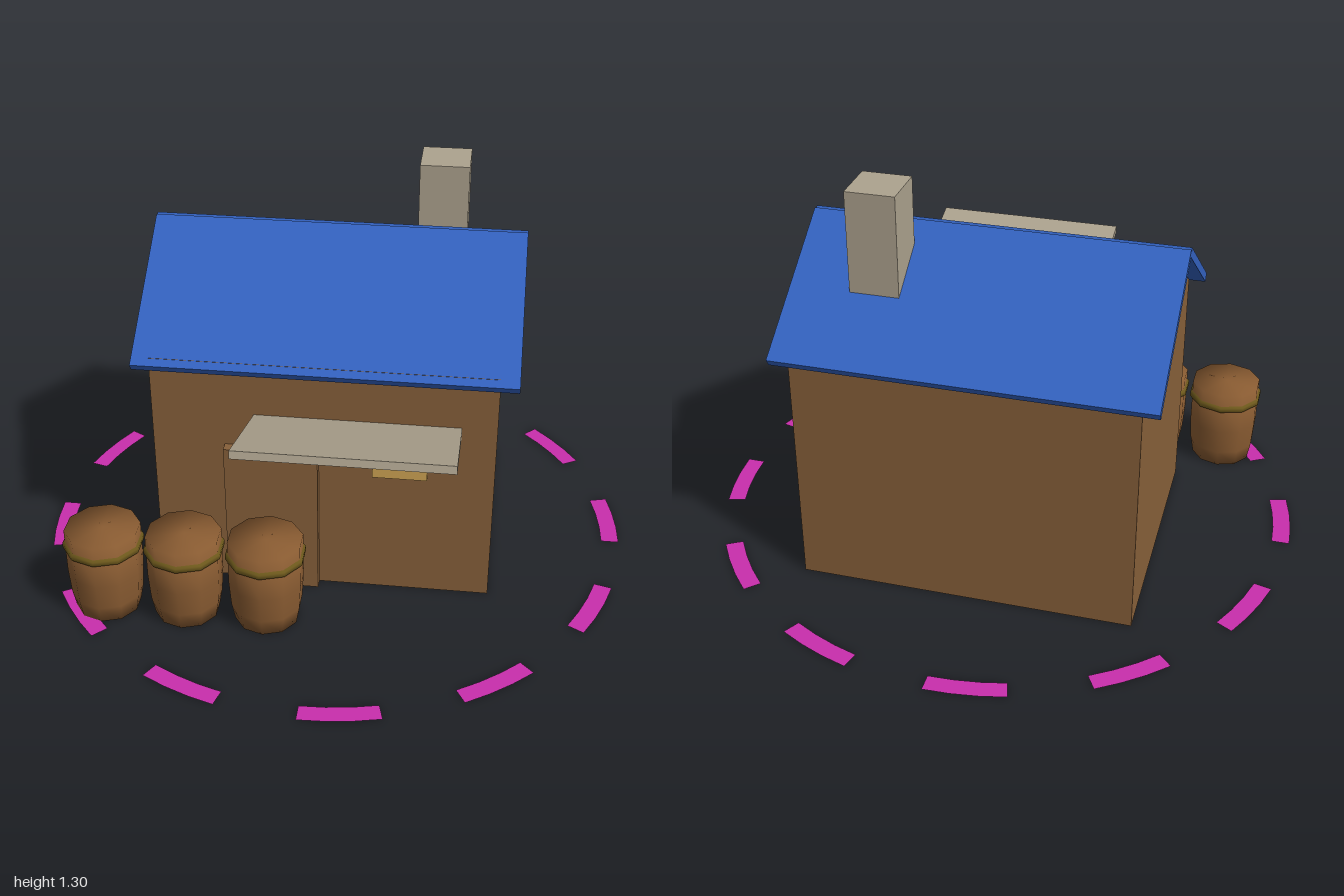
import * as THREE from 'three';

const material = (name, color, side = THREE.FrontSide) => {
  const m = new THREE.MeshStandardMaterial({ color, side });
  m.name = name;
  return m;
};

export function createModel() {
  const model = new THREE.Group();
  model.name = 'shop';

  const wood = material('wallBrown', 0x87603a);
  const blue = material('roofBlue', 0x3362c0);
  const stone = material('stoneGrey', 0xaca28e);
  const glass = material('windowYellow', 0xcfa554);
  const barrelWood = material('barrelBrown', 0x8a5c32);
  const brass = material('bandOlive', 0x6e591c);
  const magenta = material('markerMagenta', 0xc82eac, THREE.DoubleSide);

  const add = (name, geometry, mat, x, y, z, parent = model) => {
    const mesh = new THREE.Mesh(geometry, mat);
    mesh.name = name;
    mesh.position.set(x, y, z);
    parent.add(mesh);
    return mesh;
  };
  const box = (name, mat, w, h, d, x, y, z) =>
    add(name, new THREE.BoxGeometry(w, h, d), mat, x, y, z);

  // House body, door, window and chimney
  const midZ = -0.112;
  box('walls', wood, 1.105, 0.832, 0.89, -0.002, 0.416, midZ + 0.002);
  box('door', wood, 0.305, 0.53, 0.06, -0.168, 0.265, 0.34);
  box('window', glass, 0.176, 0.16, 0.04, 0.248, 0.532, 0.335);
  box('chimney', stone, 0.162, 0.385, 0.165, 0.331, 1.1125, -0.277);

  // Two roof slabs meeting at an open-ended ridge
  const run = 0.462, rise = 0.312;
  for (const s of [1, -1]) {
    const slab = box(s > 0 ? 'roofFront' : 'roofBack', blue,
      1.22, 0.03, Math.hypot(run, rise), 0, 0.959, midZ + s * run / 2);
    slab.rotation.x = s * Math.atan2(rise, run);
  }

  // Awning, tilted up away from the wall
  const awning = box('awning', stone, 0.662, 0.025, 0.46, 0.108, 0.694, 0.522);
  awning.rotation.x = -0.307;

  // Row of three barrels, each with a band
  const barrelProfile = [[0, 0], [0.106, 0], [0.117, 0.06], [0.123, 0.15], [0.123, 0.305], [0, 0.305]]
    .map(([r, y]) => new THREE.Vector2(r, y));
  const bandProfile = [[0.12, 0.236], [0.131, 0.242], [0.131, 0.258], [0.12, 0.264]]
    .map(([r, y]) => new THREE.Vector2(r, y));
  const barrelGeometry = new THREE.LatheGeometry(barrelProfile, 10);
  const bandGeometry = new THREE.LatheGeometry(bandProfile, 10);
  for (let i = 0; i < 3; i++) {
    const barrel = new THREE.Group();
    barrel.name = 'barrel' + (i + 1);
    barrel.position.set(-0.695 + i * 0.266, 0, 0.525);
    add('barrelBody', barrelGeometry, barrelWood, 0, 0, 0, barrel);
    add('barrelBand', bandGeometry, brass, 0, 0, 0, barrel);
    model.add(barrel);
  }

  // Dashed ring on the ground
  const ring = new THREE.Group();
  ring.name = 'groundRing';
  for (let i = 0; i < 12; i++) {
    const dash = new THREE.RingGeometry(0.94, 1, 1, 1, i * Math.PI / 6, Math.PI / 12);
    dash.rotateX(-Math.PI / 2);
    add('ringDash', dash, magenta, 0, 0.002, 0, ring);
  }
  model.add(ring);

  return model;
}
